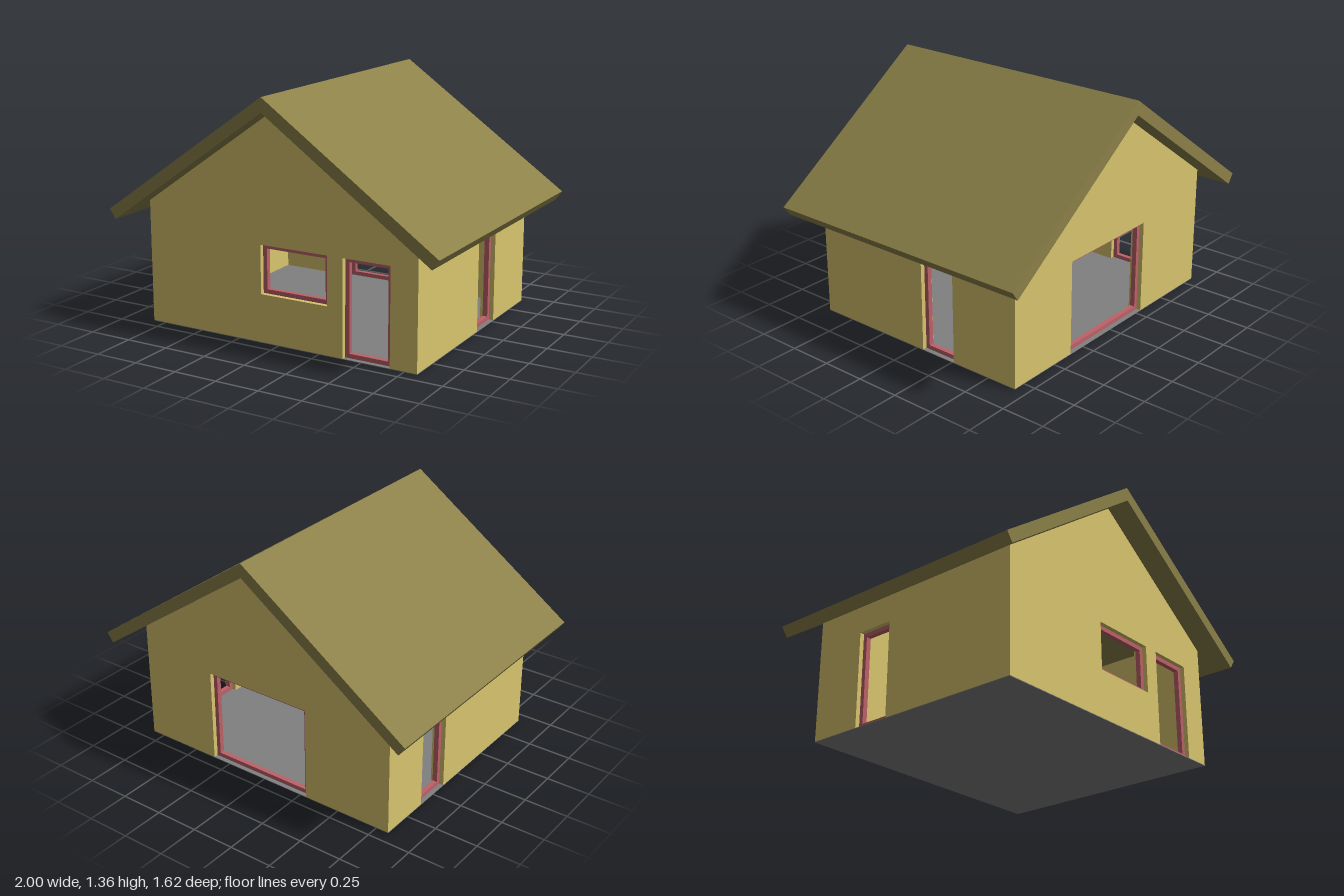
import * as THREE from 'three';

const W = 0.825, D = 0.68, T = 0.08;      // half width, half depth, wall thickness
const FLOOR = 0.004, EAVE = 0.6975, APEX = 1.275, PITCH = (APEX - EAVE) / W;
const BAR = 0.024, RECESS = 0.026, FRAME_DEPTH = 0.028;

const paint = (color) => new THREE.MeshStandardMaterial({ color, flatShading: true });
const wallMat = paint(0xd9c66f), roofMat = paint(0x8c8149);
const frameMat = paint(0xbd6268), floorMat = paint(0x808080);

const polygon = (pts) => new THREE.Shape(pts.map(([x, y]) => new THREE.Vector2(x, y)));
const rect = (l, b, r, t) => polygon([[l, b], [r, b], [r, t], [l, t]]);
const extrude = (shape, depth, z) =>
  new THREE.ExtrudeGeometry(shape, { depth, bevelEnabled: false }).translate(0, 0, z);

function mesh(name, geometry, material) {
  const m = new THREE.Mesh(geometry, material);
  m.name = name;
  return m;
}

// One wall facing local +z, with a framed opening for each [left, bottom, right, top]
function buildWall(name, half, top, dist, angle, openings, isSide) {
  const group = new THREE.Group();
  group.name = name;
  const outline = [[-half, FLOOR]];
  const holes = [];
  for (const [l, b, r, t] of openings) {
    if (b > FLOOR) holes.push(rect(l, b, r, t));
    else outline.push([l, FLOOR], [l, t], [r, t], [r, FLOOR]);   // door notch down to the floor
    const frame = rect(l, b, r, t);
    frame.holes.push(rect(l + BAR, b + BAR, r - BAR, t - BAR));
    group.add(mesh('openingFrame',
      extrude(frame, FRAME_DEPTH, dist - RECESS - FRAME_DEPTH), frameMat));
  }
  outline.push([half, FLOOR], ...top);
  const shape = polygon(outline);
  shape.holes.push(...holes);
  const geometry = extrude(shape, T, dist - T);
  if (isSide) {
    // slope the top edge up to follow the roof
    const p = geometry.attributes.position;
    for (let i = 0; i < p.count; i++) {
      if (p.getY(i) > EAVE - 0.001 && p.getZ(i) < dist - T / 2) p.setY(i, EAVE + PITCH * T);
    }
    geometry.computeVertexNormals();
  }
  group.add(mesh('wallPanel', geometry, wallMat));
  group.rotation.y = angle;
  return group;
}

export function createModel() {
  const house = new THREE.Group();
  house.name = 'house';

  // Floor slab
  house.add(mesh('floor',
    new THREE.BoxGeometry(2 * W, FLOOR, 2 * D).translate(0, FLOOR / 2, 0), floorMat));

  // Gable walls
  const gable = [[W, EAVE], [0, APEX], [-W, EAVE]];
  house.add(buildWall('frontWall', W, gable, D, 0,
    [[-0.103, 0.273, 0.304, 0.545], [0.396, FLOOR, 0.67, 0.545]], false));
  house.add(buildWall('backWall', W, gable, D, Math.PI,
    [[-0.36, FLOOR, 0.29, 0.545]], false));

  // Side walls between the gables
  const s = D - T, flat = [[s, EAVE], [-s, EAVE]];
  house.add(buildWall('leftWall', s, flat, W, Math.PI / 2,
    [[0.045, FLOOR, 0.265, 0.545]], true));
  house.add(buildWall('rightWall', s, flat, W, -Math.PI / 2,
    [[-0.37, FLOOR, -0.15, 0.545]], true));

  // Roof: a folded slab with square-cut eaves
  const roof = polygon([[0, APEX], [0.962, APEX - 0.962 * PITCH], [1, 0.655],
    [0, 1.355], [-1, 0.655], [-0.962, APEX - 0.962 * PITCH]]);
  house.add(mesh('roof', extrude(roof, 1.624, -0.812), roofMat));

  return house;
}
